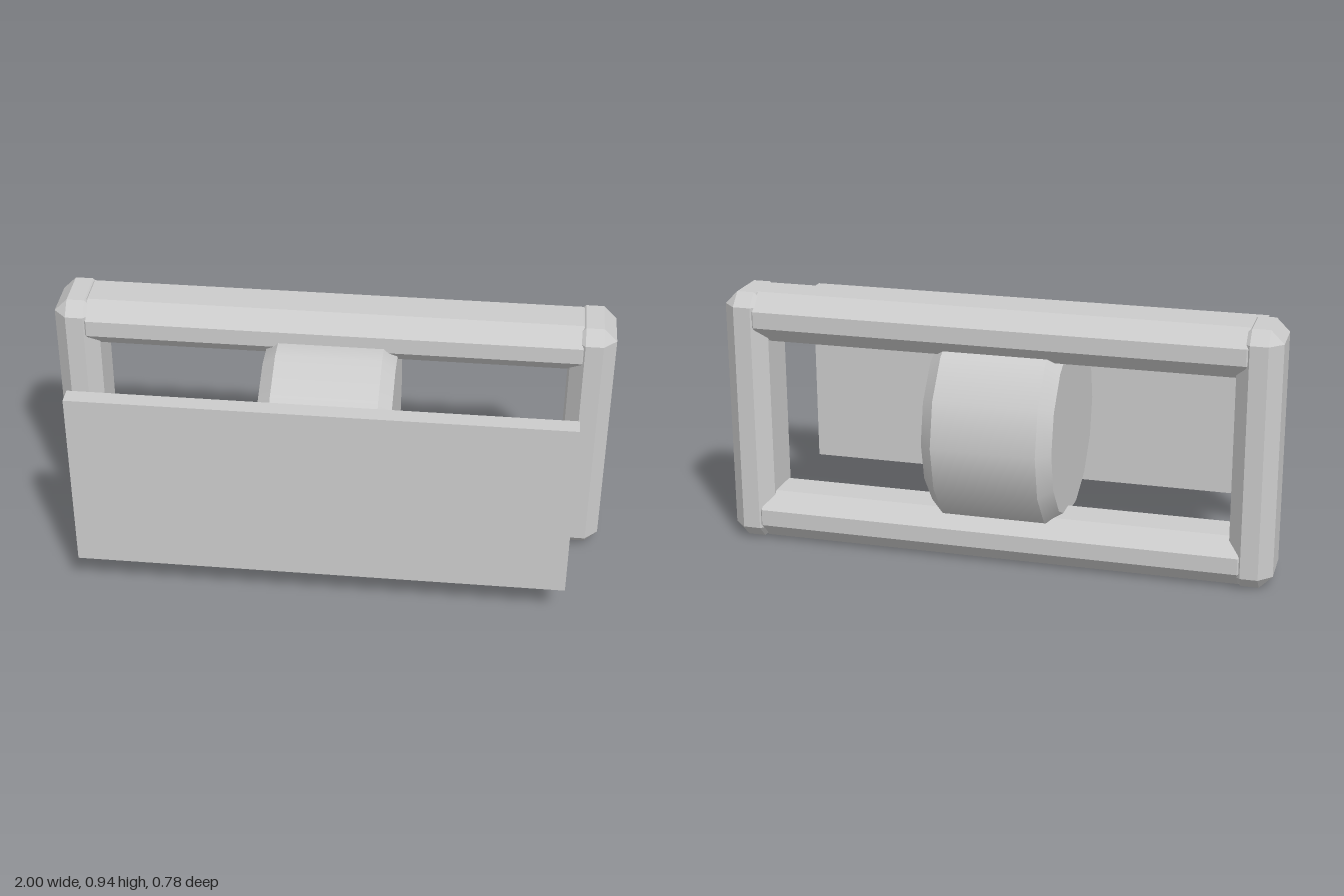
import * as THREE from 'three';
import { ConvexGeometry } from 'three/addons/geometries/ConvexGeometry.js';

const grey = new THREE.MeshStandardMaterial({ color: 0xcccccc });
grey.name = 'plain grey';

// Box with every edge and corner cut at 45 degrees
function chamferedBox(w, h, d, c) {
  const points = [];
  for (const x of [-w / 2, w / 2])
    for (const y of [-h / 2, h / 2])
      for (const z of [-d / 2, d / 2]) {
        const ix = x - Math.sign(x) * c, iy = y - Math.sign(y) * c, iz = z - Math.sign(z) * c;
        points.push(
          new THREE.Vector3(x, iy, iz),
          new THREE.Vector3(ix, y, iz),
          new THREE.Vector3(ix, iy, z));
      }
  return new ConvexGeometry(points);
}

function addPart(parent, name, geometry, x = 0, y = 0, z = 0) {
  const mesh = new THREE.Mesh(geometry, grey);
  mesh.name = name;
  mesh.position.set(x, y, z);
  parent.add(mesh);
  return mesh;
}

export function createModel() {
  const model = new THREE.Group();
  model.name = 'framedDrumAndPanel';
  const height = 0.938, midY = height / 2;

  // Rectangular frame: two posts joined by two more deeply chamfered rails
  const frame = new THREE.Group();
  frame.name = 'frame';
  frame.position.set(0, midY, -0.14);
  model.add(frame);
  const postW = 0.157, railH = 0.18, depth = 0.25;
  for (const s of [1, -1]) {
    addPart(frame, s > 0 ? 'leftPost' : 'rightPost',
      chamferedBox(postW, height, depth, 0.047), s * (1 - postW / 2));
    addPart(frame, s > 0 ? 'topRail' : 'bottomRail',
      chamferedBox(1.88, railH, depth, 0.06), 0, s * (height - railH) / 2);
  }

  // Fourteen-sided drum lying along x, with bevelled rims
  const drum = new THREE.Group();
  drum.name = 'drum';
  drum.position.set(0, midY, -0.0155);
  model.add(drum);
  const sides = 14, radius = 0.3745, bevel = 0.047, half = 0.235;
  const wall = new THREE.CylinderGeometry(radius, radius, 2 * (half - bevel), sides, 1, true);
  addPart(drum, 'drumWall', wall.rotateZ(-Math.PI / 2));
  for (const s of [1, -1]) {
    const rim = new THREE.CylinderGeometry(radius - bevel, radius, bevel, sides, 1, true);
    addPart(drum, 'drumRim', rim.rotateZ(-s * Math.PI / 2), s * (half - bevel / 2));
    const cap = new THREE.CircleGeometry(radius - bevel, sides);
    addPart(drum, 'drumCap', cap.rotateY(s * Math.PI / 2), s * half);
  }

  // Flat panel standing in front
  addPart(model, 'frontPanel', new THREE.BoxGeometry(1.75, 0.687, 0.062), 0, 0.47, 0.36);

  return model;
}
